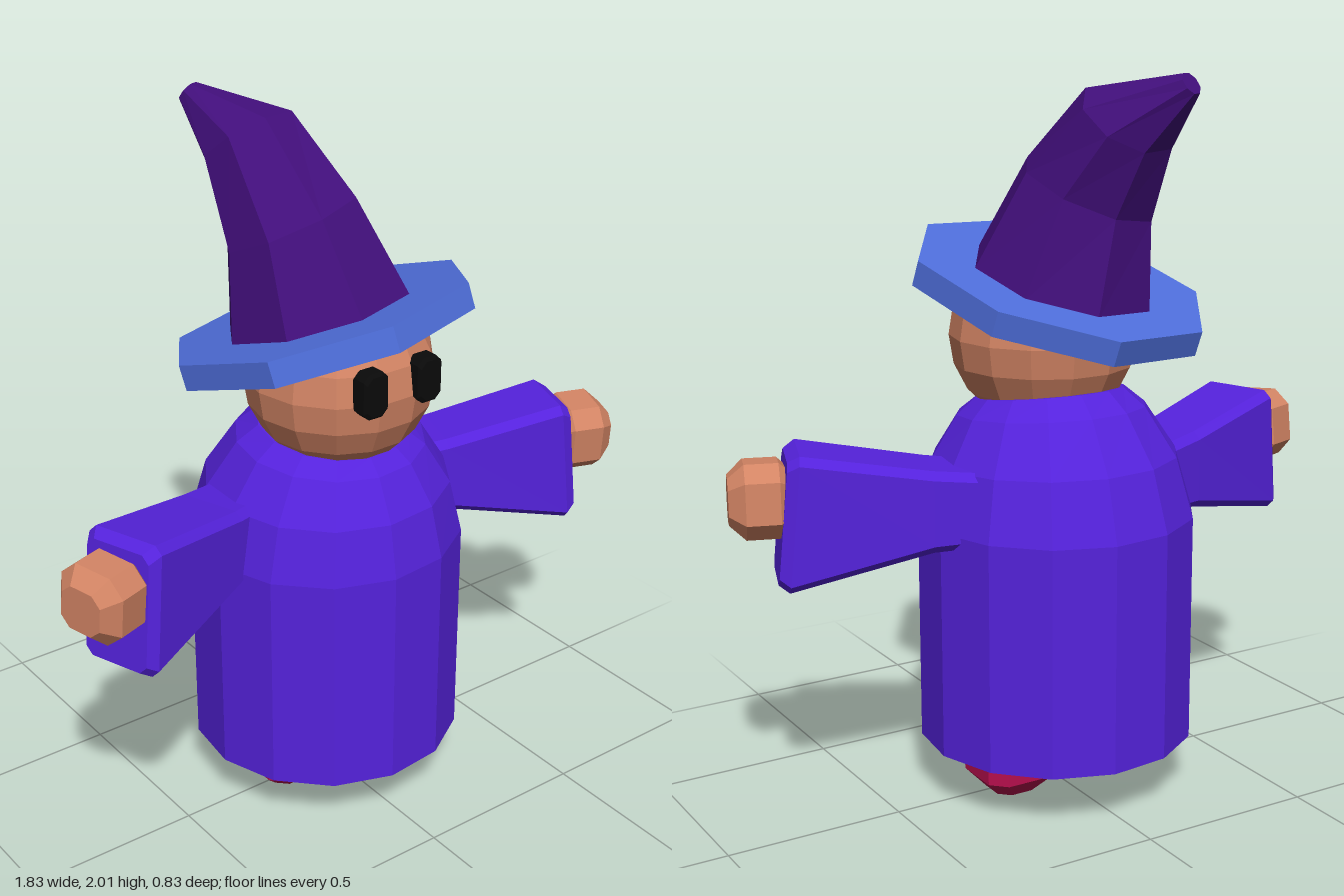
import * as THREE from 'three';

const V = (x, y, z) => new THREE.Vector3(x, y, z);
const mat = (name, color) => {
  const m = new THREE.MeshStandardMaterial({ color });
  m.name = name;
  return m;
};

// Faceted solid through a list of rings, closed at both ends.
// Rings run anticlockwise as seen from the far end.
function loft(rings) {
  const pos = [];
  const tri = (...pts) => pts.forEach(p => pos.push(p.x, p.y, p.z));
  const n = rings[0].length;
  for (let i = 0; i < rings.length - 1; i++) {
    for (let j = 0; j < n; j++) {
      const k = (j + 1) % n;
      const a = rings[i][j], b = rings[i][k], c = rings[i + 1][k], d = rings[i + 1][j];
      tri(a, b, c);
      tri(a, c, d);
    }
  }
  const first = rings[0], last = rings[rings.length - 1];
  for (let j = 1; j < n - 1; j++) {
    tri(first[0], first[j + 1], first[j]);
    tri(last[0], last[j], last[j + 1]);
  }
  const g = new THREE.BufferGeometry();
  g.setAttribute('position', new THREE.Float32BufferAttribute(pos, 3));
  g.computeVertexNormals();
  return g;
}

// Regular polygon around a centre, square to an upward normal
function ring(center, normal, radius, sides, phase) {
  const n = normal.clone().normalize();
  const u = V(1, 0, 0).addScaledVector(n, -n.x).normalize();
  const v = n.clone().cross(u);
  return Array.from({ length: sides }, (_, i) => {
    const a = phase + i * Math.PI * 2 / sides;
    return center.clone().addScaledVector(u, radius * Math.cos(a)).addScaledVector(v, radius * Math.sin(a));
  });
}

// Rectangle with cut corners; place(u, v) sets it in space
function cutRect(w, h, c, place) {
  return [[w, c - h], [w, h - c], [w - c, h], [c - w, h], [-w, h - c], [-w, c - h], [c - w, -h], [w - c, -h]]
    .map(([u, v]) => place(u, v));
}

export function createModel() {
  const robeMat = mat('robe violet', 0x5522dc);
  const hatMat = mat('hat purple', 0x420f7c);
  const brimMat = mat('brim blue', 0x4f6fdc);
  const skinMat = mat('skin', 0xd28464);
  const shoeMat = mat('shoe crimson', 0xb80f4e);
  const eyeMat = mat('eye black', 0x0a0a0a);

  const model = new THREE.Group();
  model.name = 'wizard';
  const add = (name, geometry, material, parent = model) => {
    const m = new THREE.Mesh(geometry, material);
    m.name = name;
    parent.add(m);
    return m;
  };

  // Robe: straight skirt, shoulders closing to a collar that rises at the back
  const robe = [[0.16, 0.387, 0, -0.015], [0.8, 0.387, 0, -0.015], [0.96, 0.345, 0.03, -0.005],
    [1.085, 0.265, 0.09, 0.01], [1.13, 0.21, 0.15, 0.02]]
    .map(([y, r, tilt, z]) => ring(V(0, y, z), V(0, 1, tilt), r, 14, 0.1));
  add('robe', loft(robe), robeMat);

  // Head
  const headGeo = new THREE.SphereGeometry(0.262, 14, 10).toNonIndexed();
  headGeo.computeVertexNormals();
  add('head', headGeo, skinMat).position.set(0, 1.29, 0.05);

  // Hat: tilted eight-sided brim and a cone bending back to its tip
  const tilt = V(-0.13, 1, -0.29);
  const brimTop = V(-0.03, 1.448, 0.003);
  const brimLow = brimTop.clone().addScaledVector(tilt.clone().normalize(), -0.07);
  add('hatBrim', loft([brimLow, brimTop].map(c => ring(c, tilt, 0.42, 8, -0.17))), brimMat);
  const cone = [
    [V(-0.03, 1.44, 0), tilt, 0.262],
    [V(-0.073, 1.69, -0.063), V(-0.25, 1, -0.38), 0.193],
    [V(-0.1, 1.885, -0.21), V(-0.15, 1, -0.77), 0.138],
    [V(-0.172, 1.98, -0.385), V(-0.3, 0.6, -0.8), 0.033],
  ].map(([c, n, r]) => ring(c, n, r, 8, -0.17));
  add('hatCone', loft(cone), hatMat);

  for (const side of [1, -1]) {
    const label = side > 0 ? 'left' : 'right';

    // Eye
    const eye = [[0.27, 0.033, 0.055], [0.282, 0.039, 0.063], [0.322, 0.039, 0.063], [0.33, 0.033, 0.055]]
      .map(([z, w, h]) => cutRect(w, h, 0.018, (u, v) => V(side * 0.088 + u, 1.333 + v, z)));
    add(label + 'Eye', loft(eye), eyeMat);

    // Foot
    const foot = [[0, 0.062, 0.03], [0.052, 0.11, 0.042], [0.25, 0.11, 0.042]]
      .map(([y, w, c]) => cutRect(w, w, c, (u, v) => V(side * 0.148 + v, y, -0.01 + u)));
    add(label + 'Foot', loft(foot), shoeMat);

    // Arm: flared sleeve with a slanted cuff, reaching out and a little forward
    const arm = new THREE.Group();
    arm.name = label + 'Arm';
    arm.position.set(side * 0.24, 0, -0.055);
    arm.rotation.y = side > 0 ? -0.335 : Math.PI + 0.335;
    model.add(arm);
    const sleeve = [[0, 0.866, 0.1, 0.1, 0], [0.16, 0.872, 0.112, 0.108, 0],
      [0.525, 0.861, 0.184, 0.118, 0.1], [0.555, 0.861, 0.165, 0.1, 0.1]]
      .map(([x, cy, h, w, lean]) => cutRect(h, w, 0.022, (u, v) => V(x - lean * u, cy + u, v)));
    add(label + 'Sleeve', loft(sleeve), robeMat, arm);

    // Hand
    const hand = [[-0.09, 0.06], [-0.045, 0.1], [0.045, 0.1], [0.088, 0.062]]
      .map(([x, w]) => cutRect(w, w, w * 0.45, (u, v) => V(x, u, v)));
    const handMesh = add(label + 'Hand', loft(hand), skinMat, arm);
    handMesh.position.set(0.603, 0.913, 0);
    handMesh.rotation.x = side * 0.1;
  }
  return model;
}
